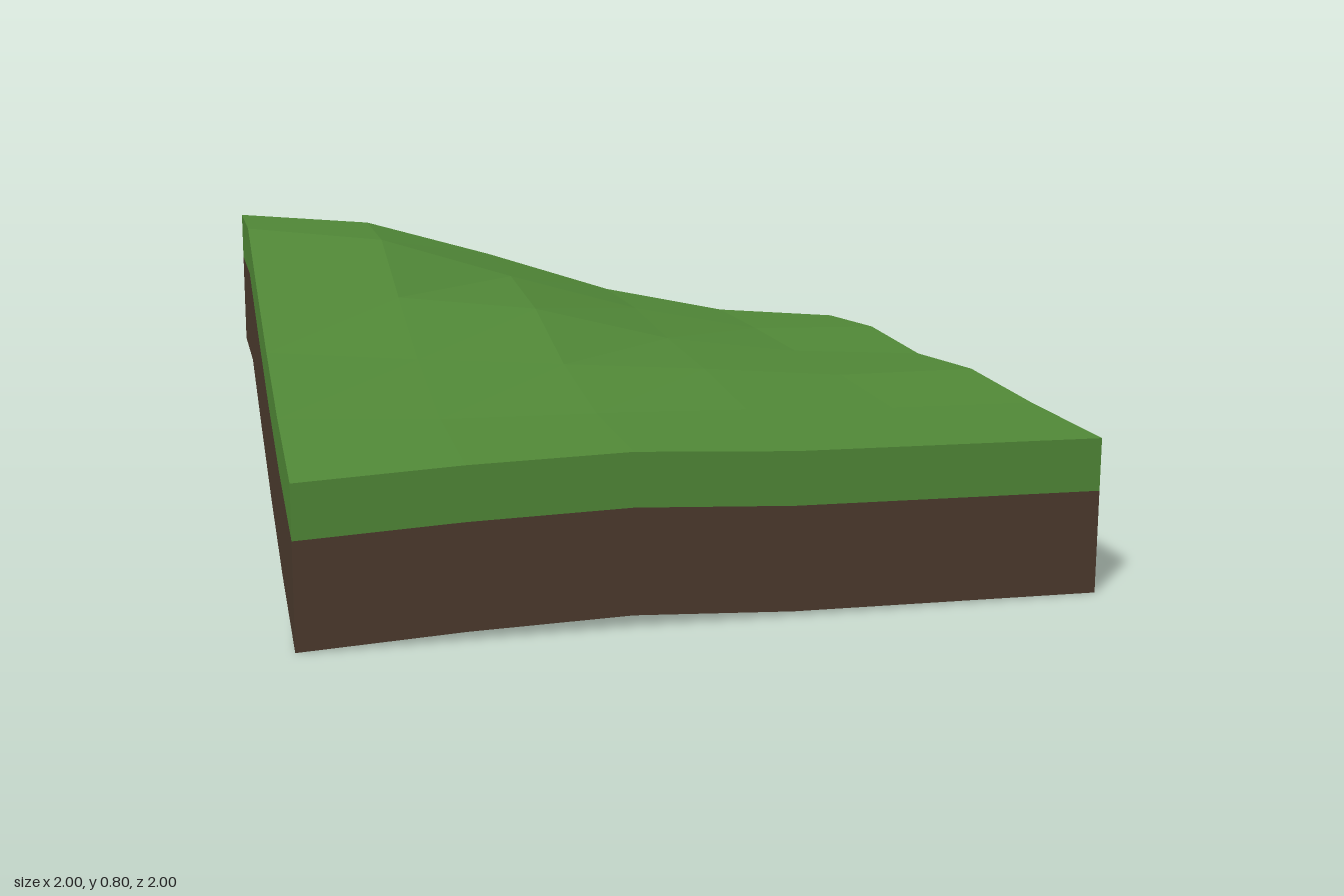
import * as THREE from 'three';

// Terrain heights: rows run back to front (z -1..1), columns x -1..1
const HEIGHTS = [
  [0.80, 0.765, 0.65, 0.52, 0.435, 0.40],
  [0.80, 0.755, 0.63, 0.515, 0.435, 0.425],
  [0.675, 0.635, 0.588, 0.485, 0.43, 0.405],
  [0.56, 0.525, 0.495, 0.465, 0.43, 0.43],
  [0.465, 0.445, 0.44, 0.43, 0.415, 0.41],
  [0.40, 0.42, 0.43, 0.41, 0.405, 0.40],
];
const N = 5;
const GRASS_DEPTH = 0.135;
const SKIRT_DEPTH = 0.4;

const point = (col, row) => new THREE.Vector3(-1 + (2 * col) / N, HEIGHTS[row][col], -1 + (2 * row) / N);

// Vertical strip hanging below a line of rim points
function skirtBand(rim, top, bottom, material, name) {
  const positions = [];
  const index = [];
  rim.forEach((p, i) => {
    positions.push(p.x, p.y - top, p.z, p.x, p.y - bottom, p.z);
    if (i === 0) return;
    const a = 2 * (i - 1);
    index.push(a, a + 1, a + 2, a + 1, a + 3, a + 2);
  });
  const geometry = new THREE.BufferGeometry();
  geometry.setAttribute('position', new THREE.Float32BufferAttribute(positions, 3));
  geometry.setIndex(index);
  geometry.computeVertexNormals();
  const mesh = new THREE.Mesh(geometry, material);
  mesh.name = name;
  return mesh;
}

export function createModel() {
  const grass = new THREE.MeshStandardMaterial({ color: 0x528a38, flatShading: true, side: THREE.DoubleSide });
  grass.name = 'grass green';
  const soil = new THREE.MeshStandardMaterial({ color: 0x4d3b2e, flatShading: true, side: THREE.DoubleSide });
  soil.name = 'soil brown';

  const group = new THREE.Group();
  group.name = 'terrainTile';

  // Sloping grass surface
  const geometry = new THREE.PlaneGeometry(2, 2, N, N).rotateX(-Math.PI / 2);
  const position = geometry.attributes.position;
  for (let i = 0; i < position.count; i++) {
    position.setY(i, HEIGHTS[Math.floor(i / (N + 1))][i % (N + 1)]);
  }
  geometry.computeVertexNormals();
  const surface = new THREE.Mesh(geometry, grass);
  surface.name = 'grassSurface';
  group.add(surface);

  // Four open-bottomed sides, each a grass band over a soil band, wound outward
  const sides = {
    front: (i) => point(i, N),
    left: (i) => point(N, N - i),
    back: (i) => point(N - i, 0),
    right: (i) => point(0, i),
  };
  for (const [side, at] of Object.entries(sides)) {
    const rim = Array.from({ length: N + 1 }, (_, i) => at(i));
    group.add(
      skirtBand(rim, 0, GRASS_DEPTH, grass, `${side}GrassEdge`),
      skirtBand(rim, GRASS_DEPTH, SKIRT_DEPTH, soil, `${side}SoilEdge`),
    );
  }
  return group;
}
